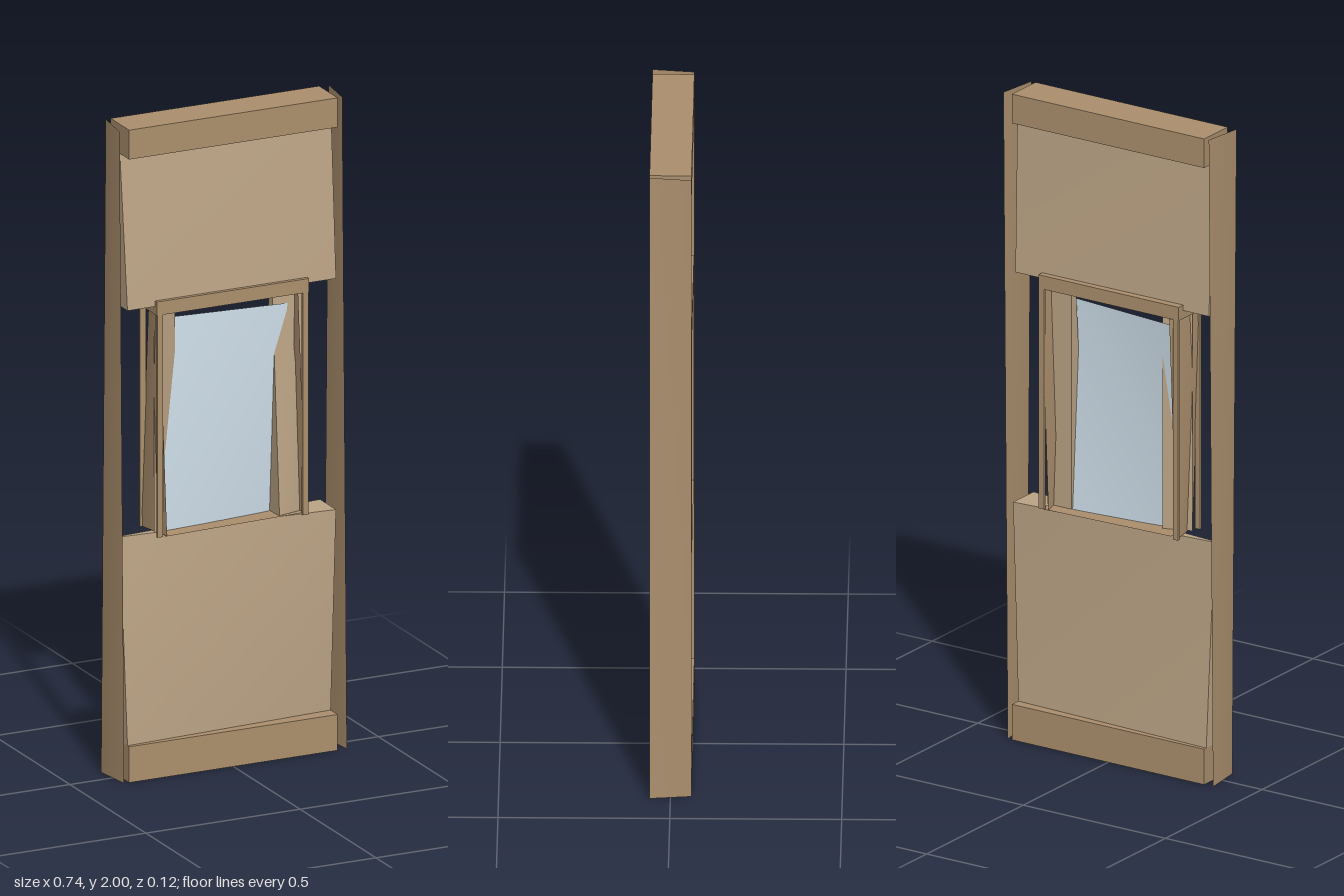
import * as THREE from 'three';

const paint = (color) => new THREE.MeshStandardMaterial({ color, side: THREE.DoubleSide });
const timber = paint(0xac906e);
const board = paint(0xbda586);
const glass = paint(0xcfdfea);
const D = 0.061; // half depth of the wall

function mesh(name, geometry, material) {
  const m = new THREE.Mesh(geometry, material);
  m.name = name;
  return m;
}

// axis-aligned member given by its limits in x, y and z
function beam(name, x0, x1, y0, y1, z0 = -D, z1 = D) {
  const g = new THREE.BoxGeometry(x1 - x0, y1 - y0, z1 - z0);
  g.translate((x0 + x1) / 2, (y0 + y1) / 2, (z0 + z1) / 2);
  return mesh(name, g, timber);
}

// twisted thin sheet a-b-c-d, folded along a-c
function sheet(name, material, a, b, c, d) {
  const g = new THREE.BufferGeometry();
  g.setAttribute('position', new THREE.Float32BufferAttribute([a, b, c, d].flat(), 3));
  g.setIndex([0, 1, 2, 0, 2, 3]);
  g.computeVertexNormals();
  return mesh(name, g, material);
}

// upright sheet of width w, twisted between its top and bottom
function twistedPost(name, x, w, y0, y1) {
  return sheet(name, timber, [x, y1, D], [x + w, y0, D], [x, y0, -D], [x + w, y1, -D]);
}

// warped board; depths are listed as top -x, top +x, bottom -x, bottom +x
function panel(name, x0, x1, y0, y1, front, back) {
  const g = new THREE.BoxGeometry(2, 2, 2);
  const p = g.attributes.position;
  for (let i = 0; i < p.count; i++) {
    const right = p.getX(i) > 0, top = p.getY(i) > 0;
    const k = (top ? 0 : 2) + (right ? 1 : 0);
    p.setXYZ(i, right ? x1 : x0, top ? y1 : y0, (p.getZ(i) > 0 ? front : back)[k]);
  }
  g.computeVertexNormals();
  return mesh(name, g, board);
}

export function createModel() {
  const group = new THREE.Group();
  group.name = 'windowWall';

  // top and bottom rails
  group.add(beam('topRail', -0.338, 0.338, 1.91, 2));
  group.add(beam('bottomRail', -0.338, 0.338, 0, 0.11));

  // boards above and below the window
  group.add(panel('upperBoard', -0.338, 0.338, 1.443, 1.91,
    [0, 0.02, 0.05, 0.05], [-0.008, -0.033, -0.037, -0.043]));
  group.add(panel('lowerBoard', -0.338, 0.338, 0.11, 0.735,
    [0, 0.05, 0.05, 0.015], [-0.008, -0.055, -0.05, -0.028]));

  // thin twisted side posts
  group.add(twistedPost('rightPost', -0.369, 0.015, 0, 2));
  group.add(twistedPost('leftPost', 0.353, 0.015, 0, 2));

  // window head and sill
  group.add(beam('windowHead', -0.248, 0.245, 1.418, 1.46));
  group.add(sheet('windowSill', timber,
    [-0.22, 0.737, D], [0.235, 0.745, D], [0.235, 0.737, -D], [-0.22, 0.745, -D]));

  // twisted window jambs with narrow cover strips on both faces
  group.add(twistedPost('rightJamb', -0.24, 0.025, 0.737, 1.418));
  group.add(twistedPost('leftJamb', 0.21, 0.025, 0.737, 1.418));
  for (const [z0, z1] of [[-D, -0.053], [0.053, D]]) {
    group.add(beam('rightCoverStrip', -0.246, -0.228, 0.737, 1.418, z0, z1));
    group.add(beam('leftCoverStrip', 0.225, 0.244, 0.737, 1.418, z0, z1));
  }

  // stops beside the glass
  group.add(sheet('rightStop', board,
    [-0.155, 0.74, -0.008], [-0.24, 0.74, 0.024], [-0.24, 1.418, 0.024], [-0.155, 1.418, -0.008]));
  group.add(panel('leftStop', 0.155, 0.24, 0.74, 1.418,
    [0.001, 0.03, 0.05, 0.03], [-0.022, -0.022, -0.022, -0.022]));

  // twisted pane
  group.add(sheet('pane', glass,
    [-0.215, 0.738, 0.02], [0.195, 0.738, -0.02], [0.195, 1.38, 0.02], [-0.215, 1.38, -0.02]));

  return group;
}
